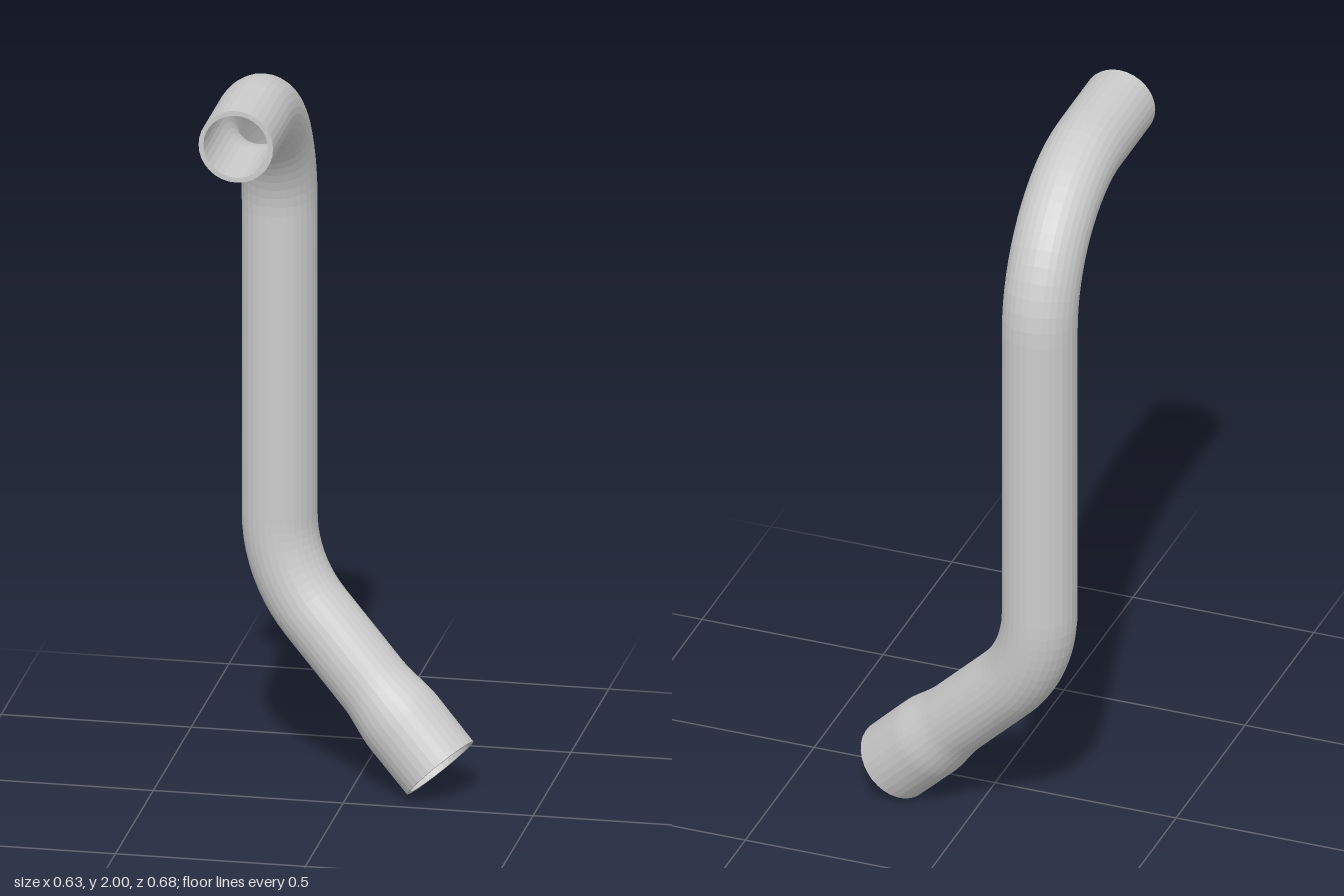
import * as THREE from 'three';

const SIDES = 32;
const V = (x, y, z) => new THREE.Vector3(x, y, z);

// Stations (point + tangent) along a circular bend that rounds a corner
function bend(corner, dirIn, dirOut, radius, steps) {
  const angle = dirIn.angleTo(dirOut);
  const start = corner.clone().addScaledVector(dirIn, -radius * Math.tan(angle / 2));
  const axis = dirIn.clone().cross(dirOut).normalize();
  const inward = axis.clone().cross(dirIn);
  const centre = start.clone().addScaledVector(inward, radius);
  return Array.from({ length: steps + 1 }, (_, i) => {
    const a = angle * i / steps;
    return {
      p: centre.clone().addScaledVector(inward.clone().applyAxisAngle(axis, a), -radius),
      t: dirIn.clone().applyAxisAngle(axis, a),
      r: 0.098,
    };
  });
}

// Hollow pipe: outer skin forward, inner skin back, closed by a rim at each end
function hollowPipe(stations, wall) {
  let normal = V(1, 0, 0);
  stations.forEach((s, i) => {
    if (i) {
      const turn = new THREE.Quaternion().setFromUnitVectors(stations[i - 1].t, s.t);
      normal = normal.clone().applyQuaternion(turn);
    }
    s.n = normal;
    s.b = s.t.clone().cross(normal);
  });
  const rings = [
    ...stations.map(s => [s, s.r]),
    ...stations.slice().reverse().map(s => [s, s.r - wall]),
  ];
  const pos = [], index = [];
  rings.forEach(([s, r], i) => {
    const next = (i + 1) % rings.length;
    for (let j = 0; j < SIDES; j++) {
      const a = j / SIDES * Math.PI * 2, k = (j + 1) % SIDES;
      const q = s.p.clone().addScaledVector(s.n, r * Math.cos(a)).addScaledVector(s.b, r * Math.sin(a));
      pos.push(q.x, q.y, q.z);
      const A = i * SIDES + j, B = next * SIDES + j, C = i * SIDES + k, D = next * SIDES + k;
      index.push(A, C, B, B, C, D);
    }
  });
  const geo = new THREE.BufferGeometry();
  geo.setAttribute('position', new THREE.Float32BufferAttribute(pos, 3));
  geo.setIndex(index);
  const flat = geo.toNonIndexed();
  flat.computeVertexNormals();
  return flat;
}

export function createModel() {
  const group = new THREE.Group();
  const X = -0.215, Z = -0.241, TOP = 1.902;
  const back = V(0, 0, -1), down = V(0, -1, 0);
  const end = V(0.235, 0.079, -0.102);
  const heading = V(end.x - X, 0, end.z - Z);
  const out = heading.clone().normalize().add(down).normalize();
  const lowerCorner = V(X, end.y + heading.length(), Z);

  // Straight inlet, upper bend, long straight run, lower bend
  const stations = [
    { p: V(X, TOP, 0.34), t: back, r: 0.098 },
    ...bend(V(X, TOP, Z), back, down, 0.36, 16),
    ...bend(lowerCorner, down, out, 0.36, 10),
  ];

  // Flared socket at the lower end
  for (let i = 0; i <= 8; i++) {
    const u = i / 8;
    stations.push({
      p: end.clone().addScaledVector(out, -0.28 + 0.13 * u),
      t: out,
      r: 0.098 + 0.013 * THREE.MathUtils.smoothstep(u, 0, 1),
    });
  }
  stations.push({ p: end, t: out, r: 0.11 });

  const pipe = new THREE.Mesh(
    hollowPipe(stations, 0.013),
    new THREE.MeshStandardMaterial({ color: 0xcccccc, flatShading: true }),
  );
  pipe.name = 'bentPipe';
  group.add(pipe);
  return group;
}
